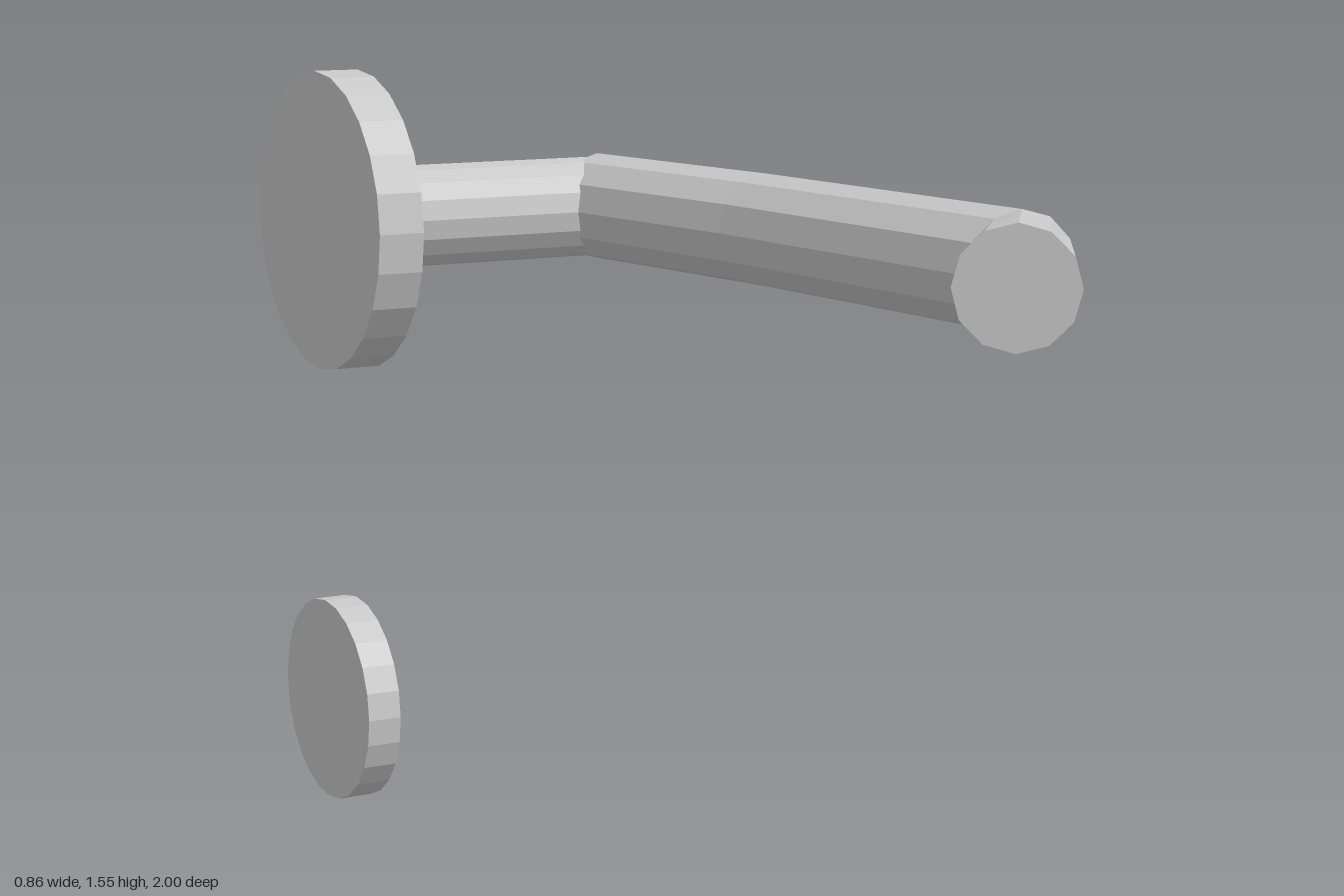
import * as THREE from 'three';

const SIDES = 12, GRIP_R = 0.114, Y = 1.238, Z = -0.69;

// Disc or bar lying along x between x0 and x1
function barX(name, r, x0, x1, y, sides, material) {
  const geo = new THREE.CylinderGeometry(r, r, x1 - x0, sides);
  geo.rotateZ(-Math.PI / 2);
  const mesh = new THREE.Mesh(geo, material);
  mesh.position.set((x0 + x1) / 2, y, Z);
  mesh.name = name;
  return mesh;
}

// Bent grip: circular rings [x, z, yaw] joined in a loop, closed by flat caps
function gripGeometry(rings) {
  const pos = [];
  const point = (i, j) => {
    const [x, z, yaw] = rings[i];
    const a = (j / SIDES) * Math.PI * 2;
    const u = Math.cos(a) * GRIP_R;
    return [x + u * Math.cos(yaw), Y + Math.sin(a) * GRIP_R, z + u * Math.sin(yaw)];
  };
  const tri = (a, b, c) => pos.push(...a, ...b, ...c);
  const last = rings.length - 1;
  const centre = (i) => [rings[i][0], Y, rings[i][1]];
  for (let j = 0; j < SIDES; j++) {
    for (let i = 0; i < last; i++) {
      const a = point(i, j), b = point(i, j + 1), c = point(i + 1, j + 1), d = point(i + 1, j);
      tri(a, b, c);
      tri(a, c, d);
    }
    tri(centre(0), point(0, j + 1), point(0, j));
    tri(centre(last), point(last, j), point(last, j + 1));
  }
  const geo = new THREE.BufferGeometry();
  geo.setAttribute('position', new THREE.Float32BufferAttribute(pos, 3));
  geo.computeVertexNormals();
  return geo;
}

export function createModel() {
  const metal = new THREE.MeshStandardMaterial({ color: 0xc7c7c7, flatShading: true });
  metal.name = 'satin metal';
  const dark = new THREE.MeshStandardMaterial({ color: 0x4d4d4d, flatShading: true });
  dark.name = 'dark slot';

  const group = new THREE.Group();
  group.name = 'doorHandle';

  // Round plates and the neck
  group.add(
    barX('rosette', 0.31, -0.43, -0.333, Y, 24, metal),
    barX('neck', 0.107, -0.34, 0.2, Y, 16, metal),
    barX('keyPlate', 0.215, -0.43, -0.358, 0.217, 24, metal)
  );

  // Lever grip with its turned-in tip
  const grip = new THREE.Mesh(gripGeometry([
    [0.23, -0.69, -0.1],
    [0.289, -0.09, -0.06],
    [0.314, 0.746, 0.13],
    [0.172, 0.928, 0.66],
  ]), metal);
  grip.name = 'grip';
  group.add(grip);

  // Keyhole slot
  const slot = new THREE.Mesh(new THREE.BoxGeometry(0.026, 0.145, 0.029), dark);
  slot.position.set(-0.359, 0.217, Z);
  slot.name = 'keyhole';
  group.add(slot);

  return group;
}
